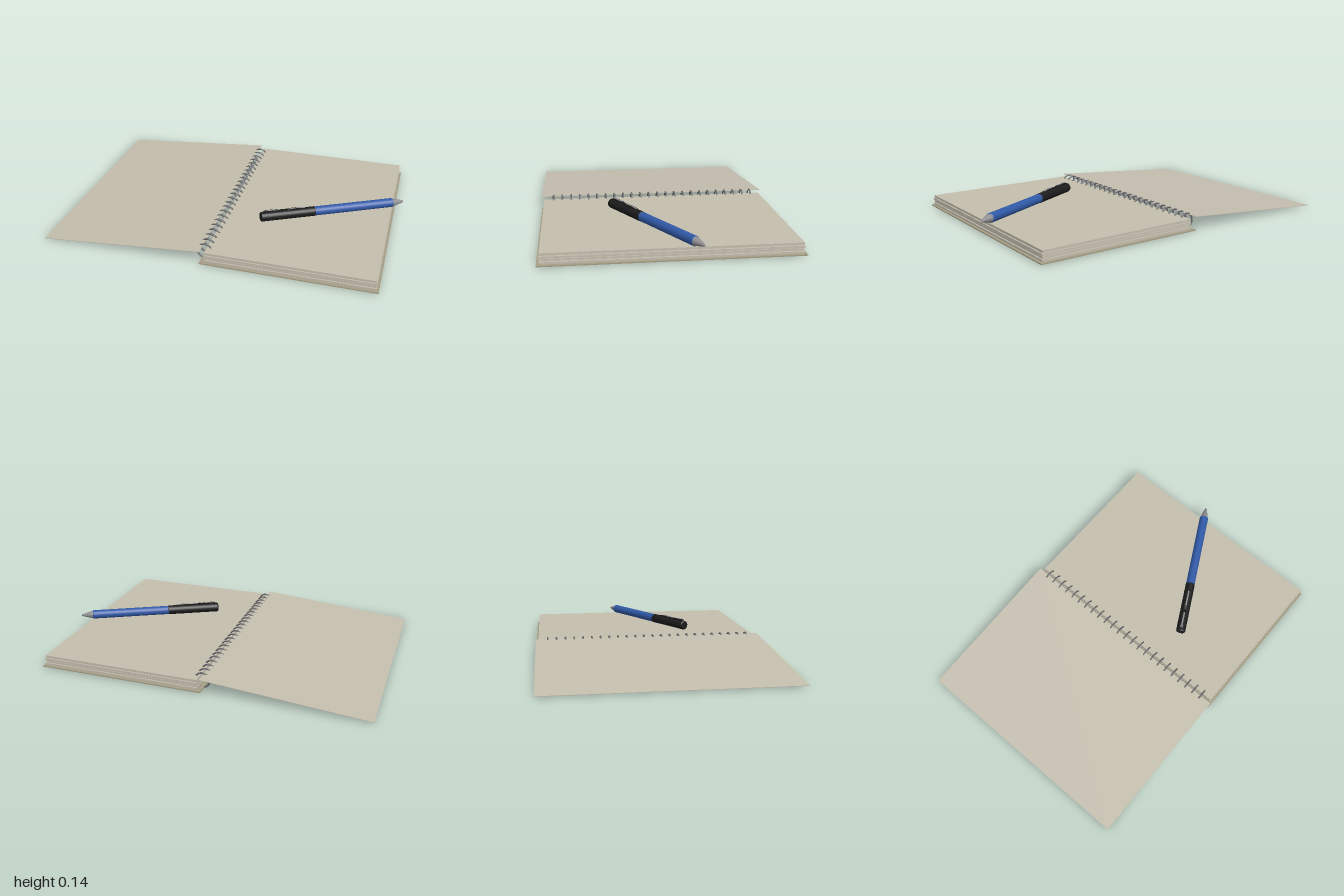
import * as THREE from 'three';

const mat = (name, color) => {
  const m = new THREE.MeshStandardMaterial({ color });
  m.name = name;
  return m;
};

export function createModel() {
  const paper = mat('paper beige', 0xc4beae);
  const board = mat('cover tan', 0xa59d83);
  const wire = mat('wire grey', 0x68686c);
  const blue = mat('barrel blue', 0x3059a6);
  const black = mat('cap black', 0x1c1c1d);
  const metal = mat('tip metal', 0x8e8e92);

  const model = new THREE.Group();
  model.name = 'notebookWithPen';

  const add = (parent, name, geometry, material, x = 0, y = 0, z = 0) => {
    const mesh = new THREE.Mesh(geometry, material);
    mesh.name = name;
    mesh.position.set(x, y, z);
    parent.add(mesh);
    return mesh;
  };
  // Box given by its x and y limits, centred on z
  const slab = (name, x0, x1, y0, y1, depth, material) =>
    add(model, name, new THREE.BoxGeometry(x1 - x0, y1 - y0, depth), material,
      (x0 + x1) / 2, (y0 + y1) / 2);

  // Back cover under the pages
  slab('backCover', -0.045, 0.95, 0.005, 0.011, 1.4, board);

  // Page block: stacked bundles with narrow recessed gaps
  slab('pageCore', -0.01, 0.925, 0.012, 0.07, 1.355, paper);
  const bundles = [[0.014, 0.026], [0.029, 0.041], [0.044, 0.056], [0.059, 0.073]];
  bundles.forEach(([y0, y1], i) =>
    slab('pages' + (i + 1), -0.018, 0.938 - (i % 2) * 0.004, y0, y1, 1.372 - (i % 2) * 0.006, paper));

  // Front cover folded open, sloping from the rings to the ground
  const x0 = -1, y0 = 0.006, x1 = -0.04, y1 = 0.086;
  const cover = add(model, 'frontCover',
    new THREE.BoxGeometry(Math.hypot(x1 - x0, y1 - y0), 0.003, 1.4), paper,
    (x0 + x1) / 2, (y0 + y1) / 2);
  cover.rotation.z = Math.atan2(y1 - y0, x1 - x0);

  // Wire binding
  const rings = new THREE.Group();
  rings.name = 'wireBinding';
  model.add(rings);
  const ringGeometry = new THREE.TorusGeometry(0.0435, 0.005, 8, 28);
  for (let i = 0; i < 24; i++) {
    add(rings, 'ring' + (i + 1), ringGeometry, wire, -0.032, 0.0485, -0.628 + i * 0.0545);
  }

  // Pen, built along +x from the cap end, then turned on the page
  const pen = new THREE.Group();
  pen.name = 'pen';
  pen.position.set(0.2, 0.103, 0.275);
  pen.rotation.y = 0.483;
  model.add(pen);
  const turned = (name, points, material) => {
    const g = new THREE.LatheGeometry(points.map(([r, x]) => new THREE.Vector2(r, x)), 28);
    g.rotateZ(-Math.PI / 2);
    return add(pen, name, g, material);
  };
  // Doubled points keep the rims crisp
  turned('cap', [[0, 0], [0.024, 0], [0.024, 0], [0.029, 0.006], [0.029, 0.006], [0.029, 0.333],
    [0.029, 0.333], [0.026, 0.335]], black);
  turned('barrel', [[0.026, 0.33], [0.0275, 0.333], [0.0275, 0.333], [0.0275, 0.825],
    [0.0275, 0.825], [0.024, 0.83]], blue);
  turned('tip', [[0.025, 0.826], [0.025, 0.83], [0.025, 0.83], [0.008, 0.892],
    [0.005, 0.9], [0, 0.902]], metal);

  // Pocket clip with two raised humps
  const outline = [[0.02, 0.022], [0.29, 0.022], [0.275, 0.031], [0.22, 0.036], [0.166, 0.033],
    [0.145, 0.03], [0.12, 0.036], [0.033, 0.037], [0.02, 0.031]];
  const clip = new THREE.ExtrudeGeometry(
    new THREE.Shape(outline.map(([x, y]) => new THREE.Vector2(x, y))),
    { depth: 0.018, bevelEnabled: false });
  add(pen, 'clip', clip, black, 0, 0, -0.009);

  // Pale strips along the humps
  const strip = (name, ax, ay, bx, by) => {
    const s = add(pen, name, new THREE.BoxGeometry(Math.hypot(bx - ax, by - ay), 0.002, 0.009),
      metal, (ax + bx) / 2, (ay + by) / 2);
    s.rotation.z = Math.atan2(by - ay, bx - ax);
  };
  strip('clipStripRear', 0.033, 0.037, 0.12, 0.036);
  strip('clipStripMiddle', 0.168, 0.033, 0.22, 0.036);
  strip('clipStripFront', 0.22, 0.036, 0.273, 0.031);

  return model;
}
